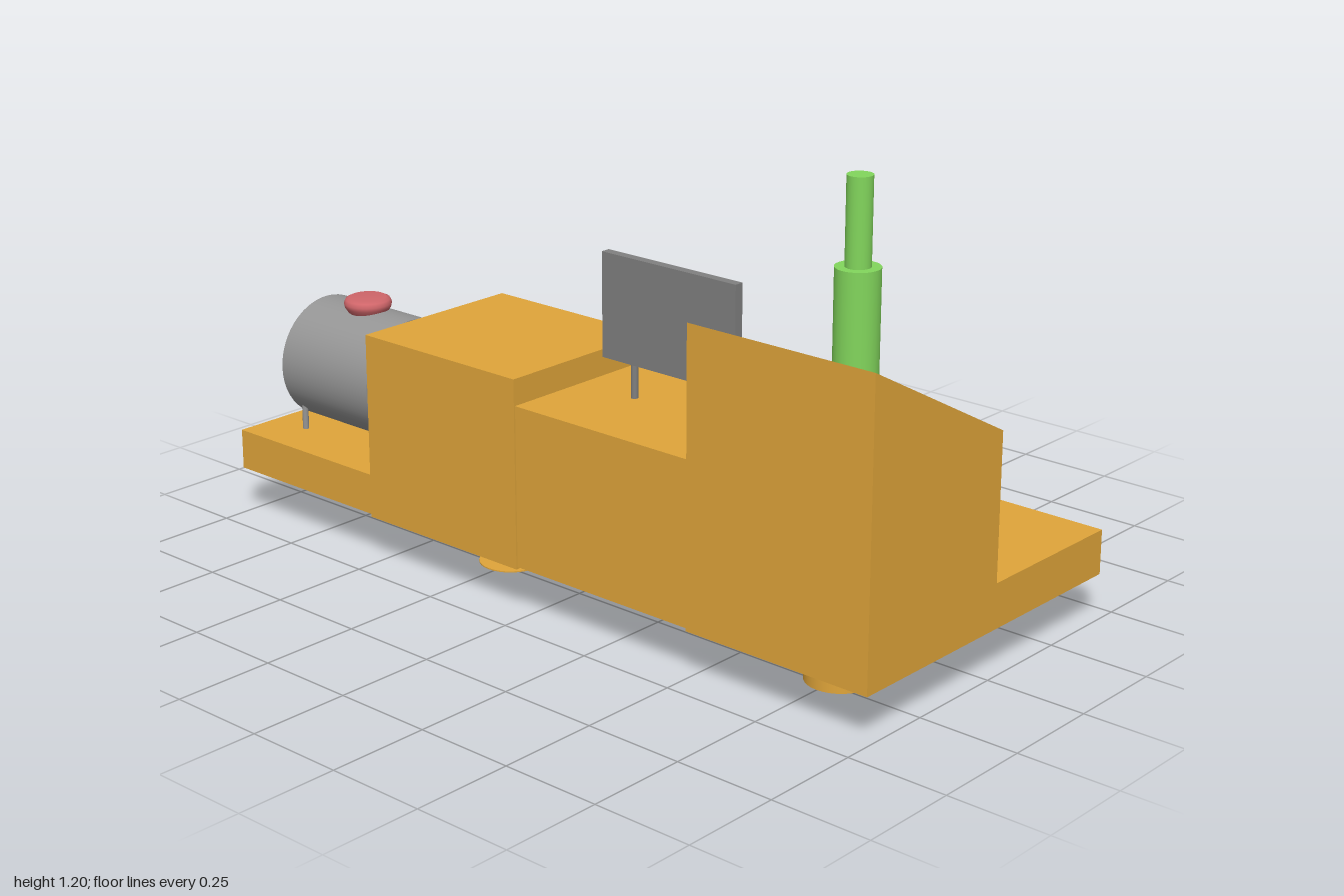
import * as THREE from 'three';

const mat = (color) => new THREE.MeshStandardMaterial({ color });

export function createModel() {
  const group = new THREE.Group();
  const orange = mat(0xe0a53a), green = mat(0x82d65c), red = mat(0xd0666a);
  const grey = mat(0x969696), darkGrey = mat(0x808080);

  const add = (name, geometry, material, x = 0, y = 0, z = 0) => {
    const mesh = new THREE.Mesh(geometry, material);
    mesh.name = name;
    mesh.position.set(x, y, z);
    group.add(mesh);
    return mesh;
  };
  // Box given by its minimum and maximum on each axis
  const box = (name, material, [x0, x1], [y0, y1], [z0, z1]) =>
    add(name, new THREE.BoxGeometry(x1 - x0, y1 - y0, z1 - z0), material,
      (x0 + x1) / 2, (y0 + y1) / 2, (z0 + z1) / 2);
  // Upright cylinder between two heights
  const post = (name, material, r, y0, y1, x, z, sides = 24) =>
    add(name, new THREE.CylinderGeometry(r, r, y1 - y0, sides), material, x, (y0 + y1) / 2, z);
  // Building block with a low platform on its left, extruded along z
  const block = (name, outerTop, z0, z1) => {
    const shape = new THREE.Shape([
      [-0.44, 0.115], [0.44, 0.115], [0.44, 0.225], [0.02, 0.225], [0.02, 0.58], [-0.44, outerTop],
    ].map(([x, y]) => new THREE.Vector2(x, y)));
    add(name, new THREE.ExtrudeGeometry(shape, { depth: z1 - z0, bevelEnabled: false }), orange, 0, 0, z0);
  };

  // Blocks, link between them and low slabs
  block('frontBlock', 0.825, 0.5, 1);
  block('rearBlock', 0.58, -0.515, -0.02);
  box('linkBlock', orange, [-0.436, 0.012], [0.12, 0.515], [-0.02, 0.5]);
  box('rearSlab', orange, [-0.436, 0.012], [0.12, 0.222], [-1, -0.515]);
  box('frontPlatformExtension', orange, [0.02, 0.435], [0.12, 0.222], [0.32, 0.5]);
  box('rearPlatformFrontLip', orange, [0.02, 0.435], [0.12, 0.222], [-0.02, 0.035]);
  box('rearPlatformExtension', orange, [0.02, 0.435], [0.12, 0.222], [-0.655, -0.515]);

  // Peg under the front block and the flat disc level with its foot
  post('peg', orange, 0.08, 0, 0.116, -0.21, 0.75, 32);
  post('footDisc', orange, 0.08, 0, 0.003, -0.21, -0.265, 32);

  // Chimney in two steps
  post('chimneyBase', green, 0.049, 0.74, 1.008, -0.362, 0.89);
  post('chimneyTop', green, 0.028, 1.0, 1.2, -0.362, 0.89);

  // Billboard: solid back, raised rim, inset panel, two posts
  box('signBack', darkGrey, [-0.223, -0.21], [0.597, 0.85], [0.054, 0.452]);
  for (const [y0, y1] of [[0.597, 0.612], [0.835, 0.85]])
    box('signRim', darkGrey, [-0.21, -0.2], [y0, y1], [0.054, 0.452]);
  for (const [z0, z1] of [[0.054, 0.069], [0.437, 0.452]])
    box('signRim', darkGrey, [-0.21, -0.2], [0.612, 0.835], [z0, z1]);
  box('signPanel', red, [-0.21, -0.206], [0.612, 0.835], [0.069, 0.437]);
  for (const z of [0.143, 0.365]) post('signPost', darkGrey, 0.009, 0.51, 0.6, -0.211, z, 12);

  // Tank lying along z, on four legs, with a lid
  const tank = add('tank', new THREE.CylinderGeometry(0.155, 0.155, 0.312, 48), grey, -0.212, 0.39, -0.757);
  tank.rotation.x = Math.PI / 2;
  for (const x of [-0.318, -0.106])
    for (const z of [-0.625, -0.889]) post('tankLeg', grey, 0.008, 0.22, 0.285, x, z, 10);
  const lid = [[0, 0.53], [0.045, 0.53], [0.058, 0.55], [0.06, 0.56], [0.056, 0.57], [0.046, 0.575], [0, 0.575]];
  add('tankLid', new THREE.LatheGeometry(lid.map(([r, y]) => new THREE.Vector2(r, y)), 32), red, -0.212, 0, -0.757);

  return group;
}
